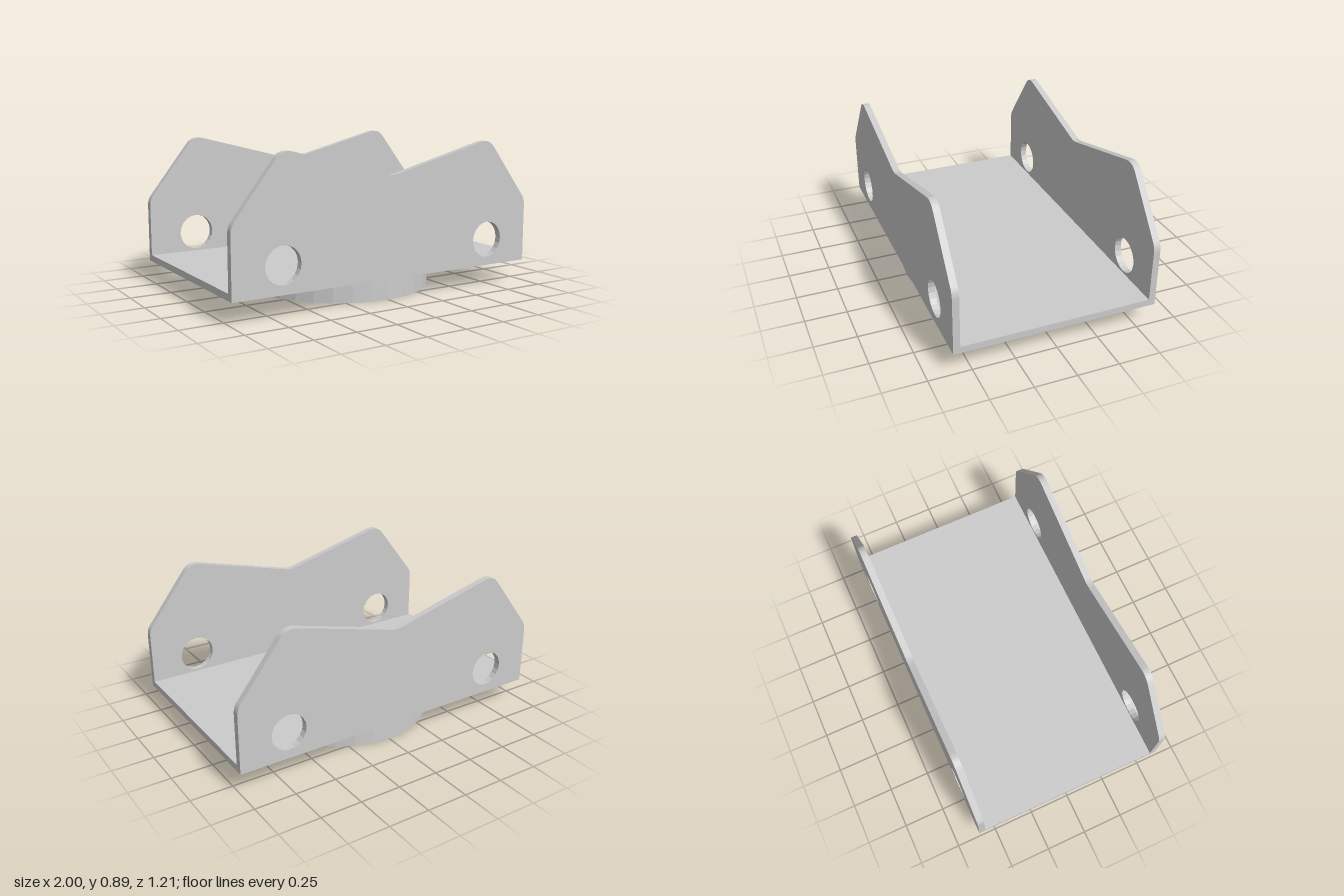
import * as THREE from 'three';

const BASE = 0.13, THICK = 0.04, INNER = 0.565;

// Closed outline whose corners [x, y, cut] are rounded by the cut length
function roundedOutline(corners) {
  const shape = new THREE.Shape();
  const n = corners.length;
  const at = (i) => new THREE.Vector2(corners[(i + n) % n][0], corners[(i + n) % n][1]);
  for (let i = 0; i < n; i++) {
    const p = at(i), cut = corners[i][2];
    const a = at(i - 1).sub(p).setLength(cut).add(p);
    const b = at(i + 1).sub(p).setLength(cut).add(p);
    if (i === 0) shape.moveTo(p.x, p.y);
    else if (cut === 0) shape.lineTo(p.x, p.y);
    else {
      shape.lineTo(a.x, a.y);
      shape.quadraticCurveTo(p.x, p.y, b.x, b.y);
    }
  }
  shape.closePath();
  return shape;
}

export function createModel() {
  const group = new THREE.Group();
  const material = new THREE.MeshStandardMaterial({ color: 0xcccccc, flatShading: true });
  const add = (name, geometry, x, y, z) => {
    const mesh = new THREE.Mesh(geometry, material);
    mesh.name = name;
    mesh.position.set(x, y, z);
    group.add(mesh);
  };

  // Round foot under the channel
  add('baseDisc', new THREE.CylinderGeometry(INNER, INNER, BASE, 32), 0, BASE / 2, 0);

  // Channel floor between the two walls
  add('floorPlate', new THREE.BoxGeometry(2, THICK, INNER * 2), 0, BASE + THICK / 2, 0);

  // Side walls with two peaks, a shallow valley and two bolt holes
  const wall = roundedOutline([
    [-1, BASE, 0], [1, BASE, 0],
    [1, 0.515, 0.035], [0.7, 0.9, 0.064], [0, 0.72, 0.035],
    [-0.7, 0.9, 0.064], [-1, 0.515, 0.035],
  ]);
  for (const side of [-1, 1]) {
    wall.holes.push(new THREE.Path().absarc(side * 0.7, 0.29, 0.108, 0, Math.PI * 2, true));
  }
  const wallGeometry = new THREE.ExtrudeGeometry(wall, {
    depth: THICK, bevelEnabled: false, curveSegments: 10,
  });
  add('frontWall', wallGeometry, 0, 0, INNER);
  add('backWall', wallGeometry, 0, 0, -INNER - THICK);

  return group;
}
